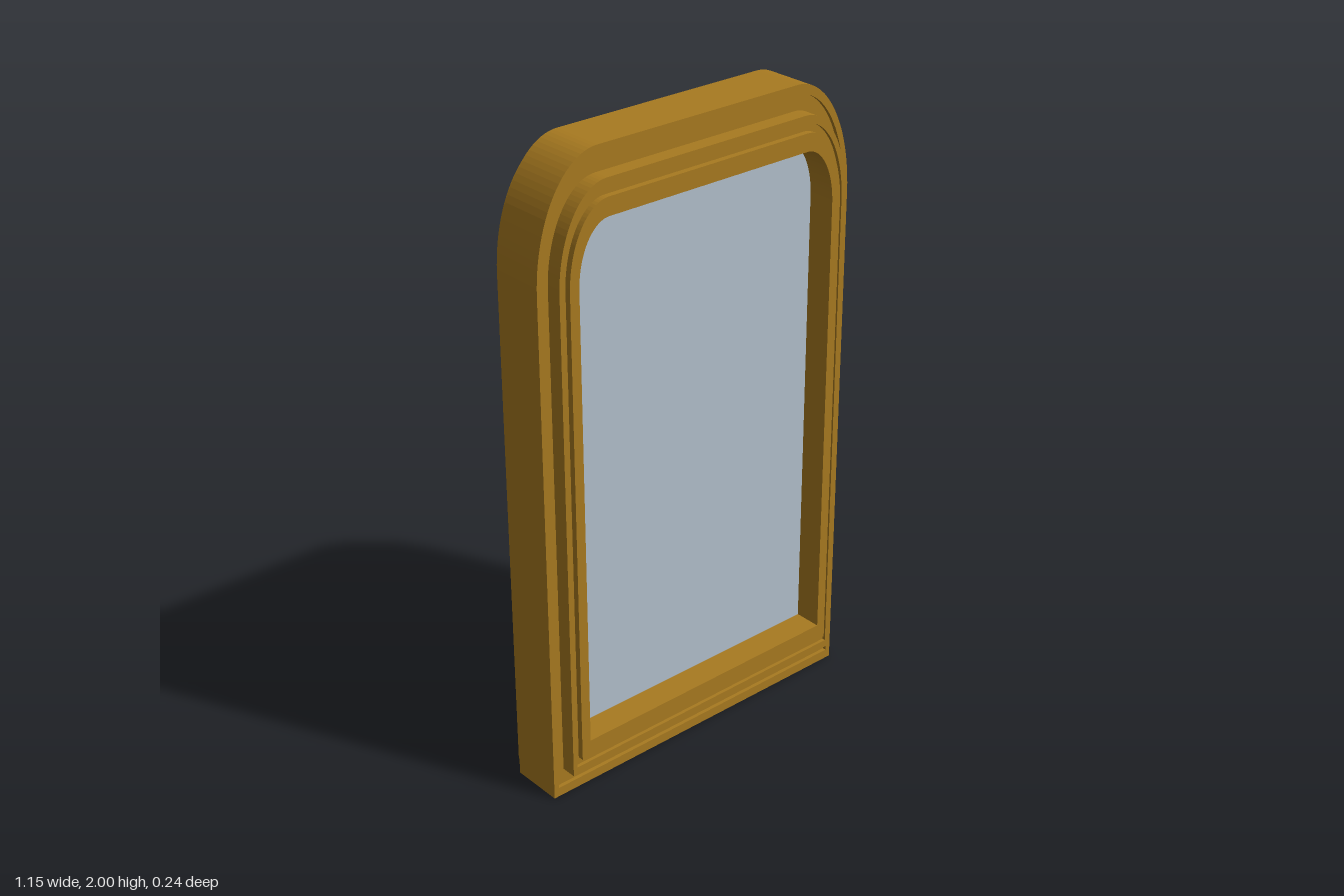
import * as THREE from 'three';

const WIDTH = 0.573;   // half width; corners are squashed by the same ratio
const RADIUS = 0.37;   // vertical radius of the upper corners

// Arched outline, inset evenly from the outer edge (x inset is squashed too)
function outline(inset, Type = THREE.Shape) {
  const half = WIDTH * (1 - inset);
  const cx = WIDTH * (1 - RADIUS);
  const cy = 2 - RADIUS;
  const ry = RADIUS - inset;
  const rx = half - cx;
  const path = new Type();
  path.moveTo(-half, inset);
  path.lineTo(half, inset);
  path.lineTo(half, cy);
  path.absellipse(cx, cy, rx, ry, 0, Math.PI / 2, false, 0);
  path.lineTo(-cx, cy + ry);
  path.absellipse(-cx, cy, rx, ry, Math.PI / 2, Math.PI, false, 0);
  path.closePath();
  return path;
}

// Slab between two depths, hollow when an inner inset is given
function slab(name, material, outer, inner, zBack, zFront) {
  const shape = outline(outer);
  if (inner !== null) shape.holes.push(outline(inner, THREE.Path));
  const geometry = new THREE.ExtrudeGeometry(shape, {
    depth: zFront - zBack, bevelEnabled: false, curveSegments: 12,
  });
  geometry.translate(0, 0, zBack);
  const mesh = new THREE.Mesh(geometry, material);
  mesh.name = name;
  return mesh;
}

export function createModel() {
  const group = new THREE.Group();
  group.name = 'archedMirror';
  const wood = new THREE.MeshStandardMaterial({ color: 0xa87a20 });
  const glass = new THREE.MeshStandardMaterial({ color: 0xb2bfcc });

  group.add(
    // Back board and main frame
    slab('backBoard', wood, 0.03, null, -0.122, -0.094),
    slab('outerRim', wood, 0, 0.03, -0.095, 0.074),
    slab('frameBed', wood, 0.03, 0.185, -0.094, 0.062),
    // Stepped moulding on the front
    slab('raisedMoulding', wood, 0.08, 0.105, 0.062, 0.111),
    slab('mouldingGroove', wood, 0.105, 0.13, 0.062, 0.1),
    slab('innerLip', wood, 0.13, 0.185, 0.062, 0.119),
    // Recessed pane
    slab('mirrorPane', glass, 0.185, null, 0.0, 0.03),
  );
  return group;
}
